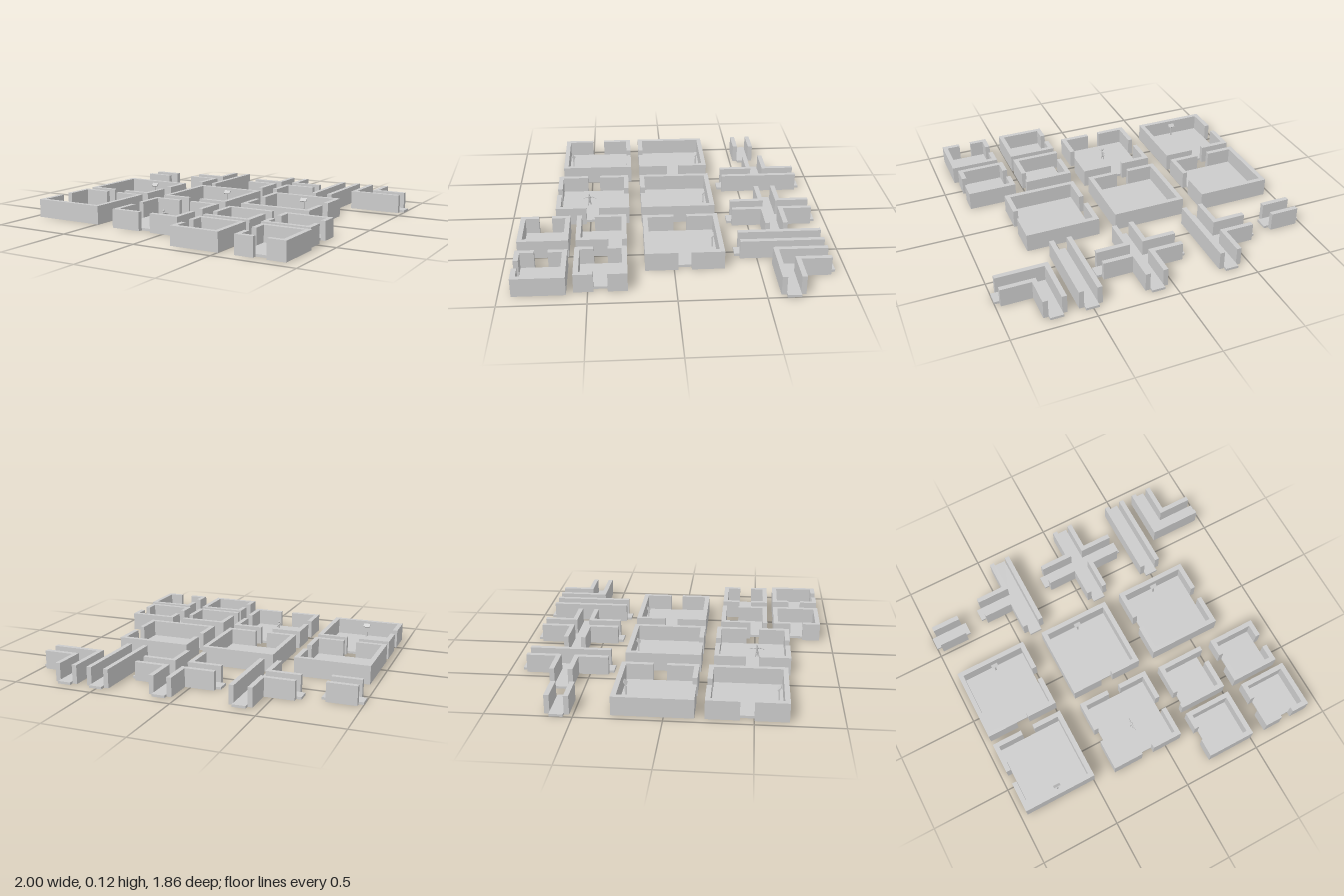
import * as THREE from 'three';

const HEIGHT = 0.115, FLOOR = 0.015, WALL = 0.03, HALF = 0.04; // HALF: half a doorway
const mat = new THREE.MeshStandardMaterial({ color: 0xcccccc, flatShading: true });
const smooth = new THREE.MeshStandardMaterial({ color: 0xcccccc });

function add(parent, name, geometry, x = 0, y = 0, z = 0, material = mat) {
  const m = new THREE.Mesh(geometry, material);
  m.name = name;
  m.position.set(x, y, z);
  parent.add(m);
  return m;
}

// Plan point: n outward from side d, t along it (sides 0:+x 1:+z 2:-x 3:-z)
const DIR = [[1, 0], [0, 1], [-1, 0], [0, -1]];
function at(d, n, t) {
  const [c, s] = DIR[d % 4];
  return new THREE.Vector2(n * c - t * s, n * s + t * c);
}

// Plan outline raised from the ground to a height
function slab(points, height) {
  const g = new THREE.ExtrudeGeometry(new THREE.Shape(points), { depth: height, bevelEnabled: false });
  return g.rotateX(Math.PI / 2).translate(0, height, 0);
}

// Walls running around the plan from each opening to the next one.
// end(side, sign) gives the [n, t] of the inner and outer wall end at an opening.
function addWalls(group, openings, half, end) {
  for (const key of Object.keys(openings)) {
    let d = Number(key);
    const inner = [at(d, ...end(d, 1)[0])], outer = [at(d, ...end(d, 1)[1])];
    do {
      inner.push(at(d, half, half));
      outer.push(at(d, half + WALL, half + WALL));
      d = (d + 1) % 4;
    } while (!(d in openings));
    inner.push(at(d, ...end(d, -1)[0]));
    outer.push(at(d, ...end(d, -1)[1]));
    // drop repeated points where a doorway touches a corner
    const loop = [...outer, ...inner.reverse()];
    add(group, 'wall', slab(loop.filter((p, i) => !i || p.distanceTo(loop[i - 1]) > 0.002), HEIGHT));
  }
}

// Square room; doors = { side: offset along the side }
function room(name, x, z, half, doors) {
  const g = new THREE.Group();
  g.name = name;
  g.position.set(x, 0, z);
  add(g, 'floor', new THREE.BoxGeometry(2 * half, FLOOR, 2 * half), 0, FLOOR / 2, 0);
  addWalls(g, doors, half, (d, s) => {
    const t = doors[d] + s * HALF;
    return [[half, t], [half + WALL, t]];
  });
  return g;
}

// Corridor; arms = { side: length from the centre }, the floor juts past the walls
function corridor(name, x, z, arms) {
  const g = new THREE.Group();
  g.name = name;
  g.position.set(x, 0, z);
  const plan = [];
  for (let d = 0; d < 4; d++) {
    if (d in arms) plan.push(at(d, arms[d], -HALF), at(d, arms[d], HALF));
    plan.push(at(d, HALF, HALF));
  }
  add(g, 'floor', slab(plan, FLOOR));
  addWalls(g, arms, HALF, (d, s) => {
    const n = arms[d] - WALL;
    return [[n, s * HALF], [n, s * (HALF + WALL)]];
  });
  return g;
}

// Post with a tilted panel facing the room
function console_(x, z, turn) {
  const g = new THREE.Group();
  g.name = 'console';
  g.position.set(x, 0, z);
  g.rotation.y = turn;
  add(g, 'post', new THREE.BoxGeometry(0.01, 0.074, 0.008), 0, 0.052, 0);
  add(g, 'panel', new THREE.BoxGeometry(0.043, 0.007, 0.026), 0, 0.092, 0).rotation.x = Math.PI / 4;
  return g;
}

// Limb between two points
function limb(parent, name, a, b, r0, r1) {
  const p = new THREE.Vector3(...a), q = new THREE.Vector3(...b);
  const v = q.clone().sub(p);
  const m = add(parent, name, new THREE.CylinderGeometry(r1, r0, v.length(), 8), 0, 0, 0, smooth);
  m.position.copy(p).addScaledVector(v, 0.5);
  m.quaternion.setFromUnitVectors(new THREE.Vector3(0, 1, 0), v.normalize());
}

// Standing figure with arms out to the sides, looking along x
function figure(x, z) {
  const g = new THREE.Group();
  g.name = 'figure';
  g.position.set(x, 0, z);
  add(g, 'head', new THREE.SphereGeometry(0.007, 10, 8), 0, 0.092, 0, smooth).scale.y = 1.2;
  limb(g, 'neck', [0, 0.077, 0], [0, 0.087, 0], 0.003, 0.003);
  limb(g, 'torso', [0, 0.048, 0], [0, 0.08, 0], 0.006, 0.009);
  for (const s of [-1, 1]) {
    limb(g, 'upperArm', [0, 0.077, s * 0.006], [0.001, 0.071, s * 0.026], 0.004, 0.003);
    limb(g, 'forearm', [0.001, 0.071, s * 0.026], [0.004, 0.066, s * 0.046], 0.003, 0.002);
    limb(g, 'thigh', [0, 0.05, s * 0.004], [s * 0.004, 0.027, s * 0.007], 0.005, 0.004);
    limb(g, 'shin', [s * 0.004, 0.027, s * 0.007], [s * 0.006, 0.003, s * 0.008], 0.004, 0.0025);
    add(g, 'foot', new THREE.BoxGeometry(0.013, 0.005, 0.006), s * 0.006 + 0.003, 0.0025, s * 0.008);
  }
  return g;
}

export function createModel() {
  const model = new THREE.Group();
  model.name = 'roomAndCorridorSet';
  const big = 0.203, small = 0.123, arm = 0.282;
  model.add(
    // large rooms
    room('cornerRoomBack', -0.725, -0.062, big, { 0: 0, 1: 0 }),
    room('endRoomLarge', -0.126, -0.06, big, { 1: 0 }),
    room('passageRoomLarge', 0.448, -0.063, big, { 0: 0, 2: 0 }),
    room('cornerRoomFront', -0.725, 0.461, big, { 2: 0, 3: 0 }),
    room('crossingRoom', -0.128, 0.484, big, { 0: 0, 1: 0, 2: 0, 3: 0 }),
    // small rooms
    room('offsetPassageRoom', 0.347, 0.425, small, { 0: HALF - small, 2: HALF - small }),
    room('passageRoomSmall', 0.73, 0.427, small, { 0: 0, 2: 0 }),
    room('endRoomSmall', 0.349, 0.773, small, { 2: 0 }),
    room('cornerRoomSmall', 0.754, 0.773, small, { 1: 0, 2: 0 }),
    // corridors
    corridor('shortCorridor', -0.88, -0.593, { 0: 0.12, 2: 0.12 }),
    corridor('teeCorridor', -0.375, -0.638, { 1: arm, 2: arm, 3: arm }),
    corridor('crossCorridor', 0.104, -0.651, { 0: arm, 1: arm, 2: arm, 3: arm }),
    corridor('longCorridor', 0.505, -0.651, { 1: arm, 3: arm }),
    corridor('cornerCorridor', 0.713, -0.651, { 0: 0.287, 3: arm }),
    // furnishings
    console_(-0.723, -0.242, 0),
    console_(-0.124, -0.242, 0),
    console_(0.447, -0.245, 0),
    console_(-0.723, 0.639, Math.PI),
    figure(-0.13, 0.512)
  );
  return model;
}
